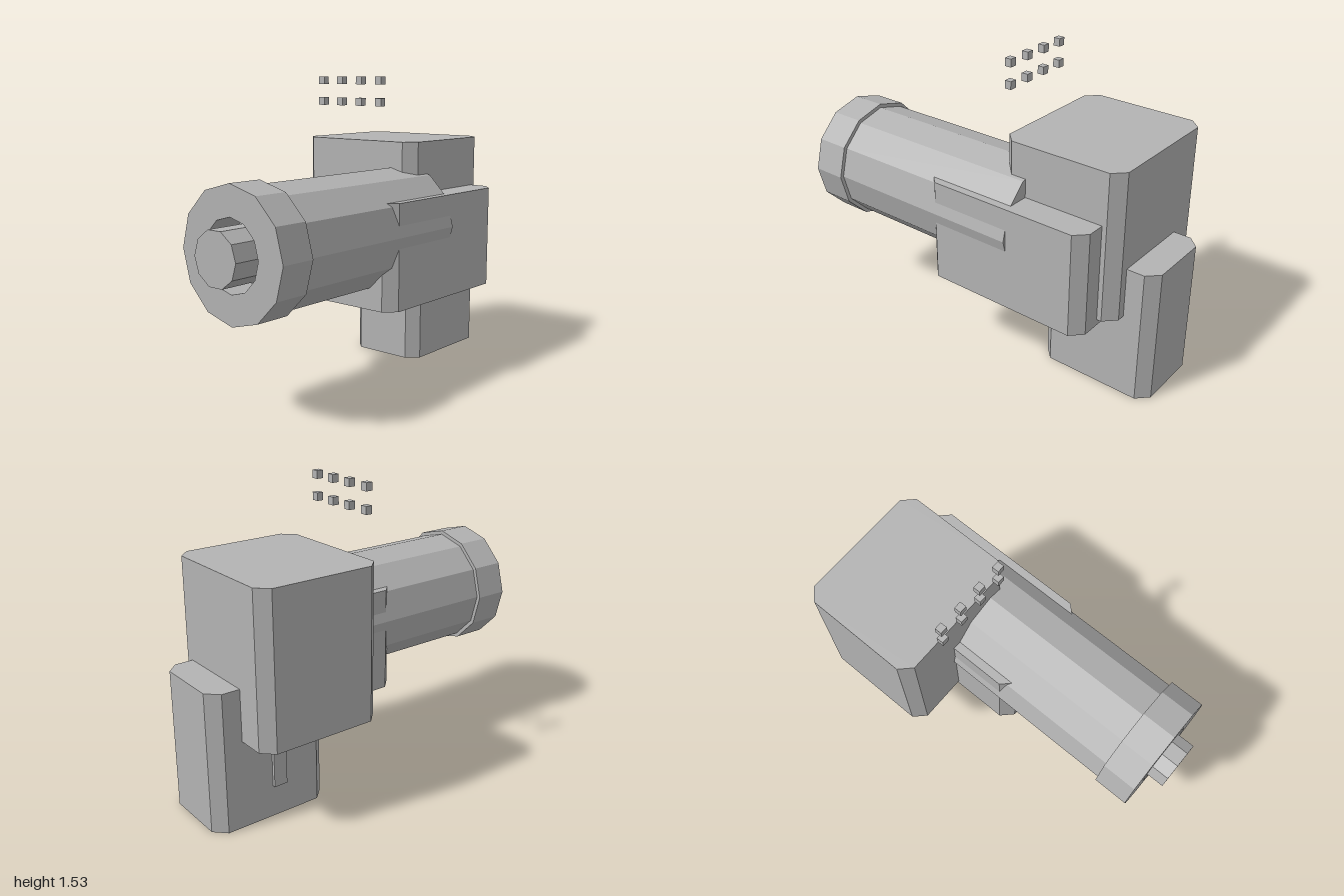
import * as THREE from 'three';

export function createModel() {
  const model = new THREE.Group();
  const grey = new THREE.MeshStandardMaterial({ color: 0xb3b3b3, flatShading: true });
  grey.name = 'grey';

  function add(name, geometry, x = 0, y = 0, z = 0) {
    const mesh = new THREE.Mesh(geometry, grey);
    mesh.name = name;
    mesh.position.set(x, y, z);
    model.add(mesh);
  }

  // Upright block whose four vertical edges are chamfered
  function block(name, [x0, x1], [y0, y1], [z0, z1], c = 0.058) {
    const w = (x1 - x0) / 2, d = (z1 - z0) / 2;
    const outline = [
      [-w + c, -d], [w - c, -d], [w, -d + c], [w, d - c],
      [w - c, d], [-w + c, d], [-w, d - c], [-w, -d + c],
    ].map(([x, y]) => new THREE.Vector2(x, y));
    const geometry = new THREE.ExtrudeGeometry(new THREE.Shape(outline), { depth: y1 - y0, bevelEnabled: false });
    geometry.rotateX(-Math.PI / 2);
    add(name, geometry, (x0 + x1) / 2, y0, (z0 + z1) / 2);
  }

  // Regular polygon with a corner on +x
  const polygon = (r, n) => Array.from({ length: n }, (_, i) => {
    const a = (i / n) * Math.PI * 2;
    return new THREE.Vector2(r * Math.cos(a), r * Math.sin(a));
  });

  // Prism along z around the barrel axis, optionally hollow
  function prism(name, r, n, z0, z1, hole = 0) {
    const shape = new THREE.Shape(polygon(r, n));
    if (hole) shape.holes.push(new THREE.Path(polygon(hole, n).reverse()));
    add(name, new THREE.ExtrudeGeometry(shape, { depth: z1 - z0, bevelEnabled: false }), 0.14, 0.775, z0);
  }

  // Body blocks
  block('upperBlock', [-0.458, 0.27], [0.442, 1.204], [-0.85, -0.206]);
  block('lowerBlock', [-0.26, 0.17], [0, 0.7], [-1, -0.385]);
  block('barrelMount', [-0.142, 0.42], [0.41, 0.94], [-0.768, 0.145]);

  // Thin strip on the right face of the lower block
  add('sideStrip', new THREE.BoxGeometry(0.04, 0.34, 0.07), -0.256, 0.33, -0.66);

  // Barrel with a hollow muzzle ring and a core
  prism('barrel', 0.295, 12, -0.345, 0.74);
  prism('muzzleRing', 0.315, 12, 0.73, 0.91, 0.17);
  prism('muzzleCore', 0.13, 10, 0.7, 1);

  // Two rows of small floating cubes
  for (const y of [1.405, 1.514]) {
    for (let i = 0; i < 4; i++) {
      add('smallCube', new THREE.BoxGeometry(0.038, 0.04, 0.035), -0.26 + i * 0.127, y, -0.137);
    }
  }
  return model;
}
